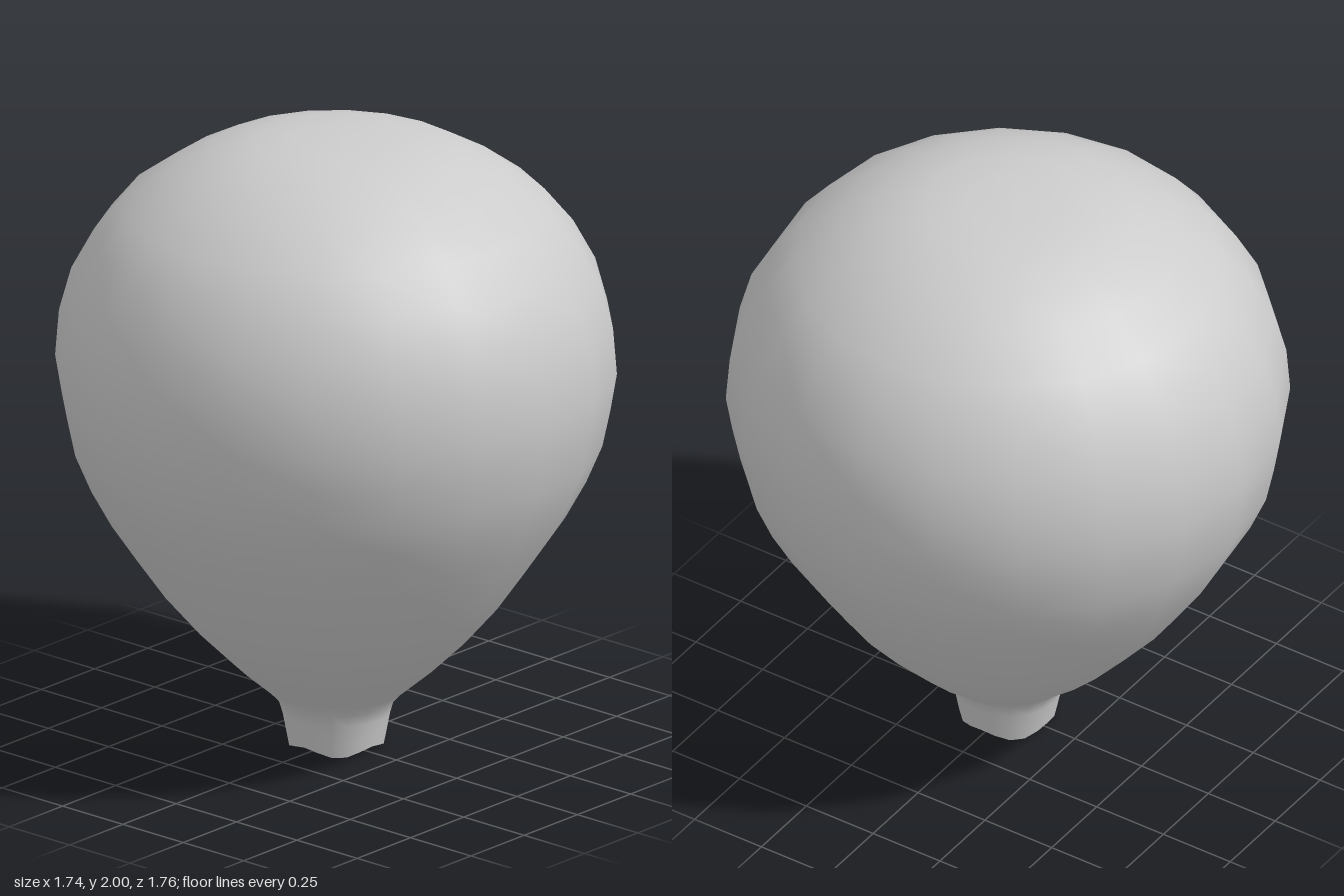
import * as THREE from 'three';

export function createModel() {
  const model = new THREE.Group();
  const material = new THREE.MeshStandardMaterial({ color: 0xcccccc, side: THREE.DoubleSide });

  // Radius and height, from the open rim up to the crown
  const profile = [
    [0.148, 0.012], [0.158, 0.06], [0.168, 0.11], [0.18, 0.15], [0.217, 0.19],
    [0.32, 0.28], [0.43, 0.39], [0.54, 0.52], [0.63, 0.65], [0.71, 0.77],
    [0.775, 0.89], [0.825, 1.01], [0.85, 1.13], [0.87, 1.25], [0.858, 1.4],
    [0.82, 1.54], [0.75, 1.67], [0.66, 1.78], [0.53, 1.875], [0.40, 1.945],
    [0.26, 1.985], [0.13, 1.997], [0, 2],
  ].map(([r, y]) => new THREE.Vector2(r, y));

  // Balloon skin: a 20-sided lathe, very slightly deeper than wide
  const geometry = new THREE.LatheGeometry(profile, 20);
  geometry.scale(1, 1, 1.012);

  // Wavy lip: four gentle lobes that fade out up the neck
  const pos = geometry.attributes.position;
  for (let i = 0; i < pos.count; i++) {
    const y = pos.getY(i);
    const fade = Math.max(0, 1 - y / 0.12);
    const angle = Math.atan2(pos.getX(i), pos.getZ(i));
    pos.setY(i, y + 0.0125 * fade * Math.cos(4 * angle));
  }

  const balloon = new THREE.Mesh(geometry, material);
  balloon.name = 'balloon';
  model.add(balloon);
  return model;
}
